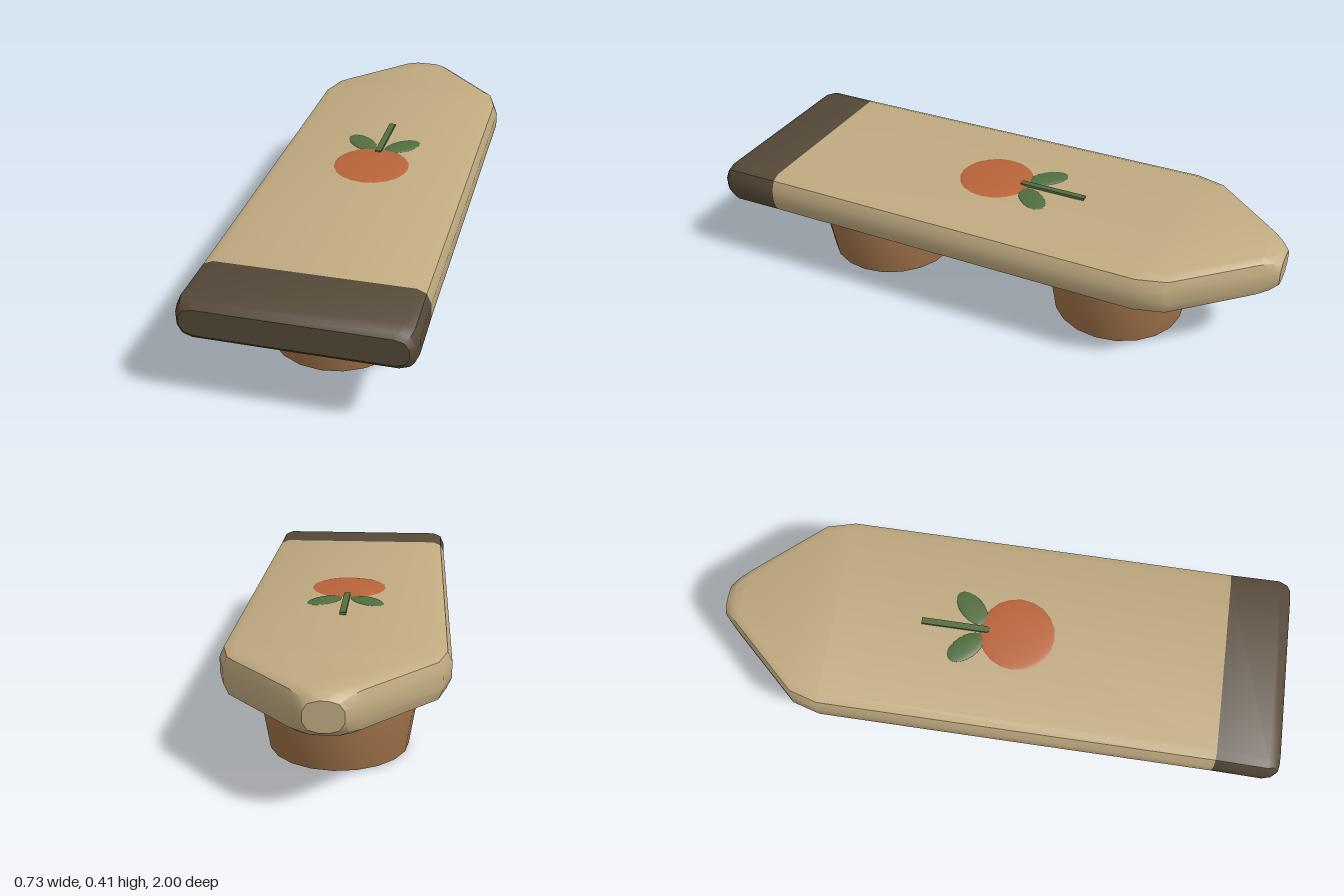
import * as THREE from 'three';
import { toCreasedNormals } from 'three/addons/utils/BufferGeometryUtils.js';

const material = (name, color) => {
  const m = new THREE.MeshStandardMaterial({ color });
  m.name = name;
  return m;
};

// Chamfered cross-section of the board, counter-clockwise seen from +z
function section([z, w, h]) {
  const y = 0.327;
  const quarter = [[w, h * 0.35], [w - 0.015, h * 0.82], [w - 0.045, h]];
  const right = [...quarter.map(([px, py]) => [px, -py]).reverse(), ...quarter];
  const left = right.map(([px, py]) => [-px, -py]);
  return [...right, ...left].map(([px, py]) => [px, y + py, z]);
}

// Skin a row of cross-sections and close both ends
function loft(stations) {
  const rings = stations.map(section);
  const n = rings[0].length;
  const index = [];
  for (let j = 0; j < rings.length - 1; j++) {
    for (let i = 0; i < n; i++) {
      const k = (i + 1) % n;
      const a = j * n + i, b = j * n + k, c = b + n, d = a + n;
      index.push(a, b, c, a, c, d);
    }
  }
  const last = (rings.length - 1) * n;
  for (let i = 1; i < n - 1; i++) {
    index.push(0, i + 1, i);
    index.push(last, last + i, last + i + 1);
  }
  const g = new THREE.BufferGeometry();
  g.setAttribute('position', new THREE.Float32BufferAttribute(rings.flat(2), 3));
  g.setIndex(index);
  return toCreasedNormals(g, 0.6);
}

export function createModel() {
  const group = new THREE.Group();
  group.name = 'sandal';
  const wood = material('tan wood', 0xc0aa80);
  const dark = material('dark brown', 0x564939);
  const brown = material('brown wood', 0x9e7148);
  const orange = material('orange', 0xb9643a);
  const green = material('leaf green', 0x526e40);

  const add = (name, geometry, mat) => {
    const mesh = new THREE.Mesh(geometry, mat);
    mesh.name = name;
    group.add(mesh);
    return mesh;
  };

  // Board with tapered back end, and dark front band: [z, half width, half height]
  add('board', loft([
    [-1, 0.06, 0.048], [-0.975, 0.085, 0.065], [-0.94, 0.118, 0.072],
    [-0.7, 0.335, 0.073], [-0.6, 0.363, 0.073], [0.78, 0.361, 0.073],
  ]), wood);
  add('frontBand', loft([
    [0.78, 0.361, 0.073], [0.955, 0.363, 0.073], [0.985, 0.355, 0.062], [1, 0.342, 0.045],
  ]), dark);

  // Round feet, narrower at the ground
  const profile = [[0, 0], [0.233, 0.005], [0.255, 0.14], [0.25, 0.24], [0.244, 0.245], [0, 0.246]]
    .map(([r, y]) => new THREE.Vector2(r, y));
  const foot = toCreasedNormals(new THREE.LatheGeometry(profile, 20), 0.6);
  add('frontFoot', foot, brown).position.z = 0.5;
  add('backFoot', foot, brown).position.z = -0.44;

  // Painted fruit with stem and two leaves
  const dome = new THREE.SphereGeometry(1, 20, 8, 0, Math.PI * 2, 0, Math.PI / 2);
  const fruit = add('fruit', dome, orange);
  fruit.scale.set(0.135, 0.009, 0.135);
  fruit.position.set(0, 0.399, 0.05);

  const stem = add('stem', new THREE.BoxGeometry(0.022, 0.009, 0.24), green);
  stem.position.set(0, 0.4045, -0.17);

  for (const side of [-1, 1]) {
    const leaf = add(side > 0 ? 'leftLeaf' : 'rightLeaf', dome, green);
    leaf.scale.set(0.075, 0.008, 0.042);
    leaf.rotation.y = side * 0.8;
    leaf.position.set(side * 0.075, 0.399, -0.122);
  }
  return group;
}
